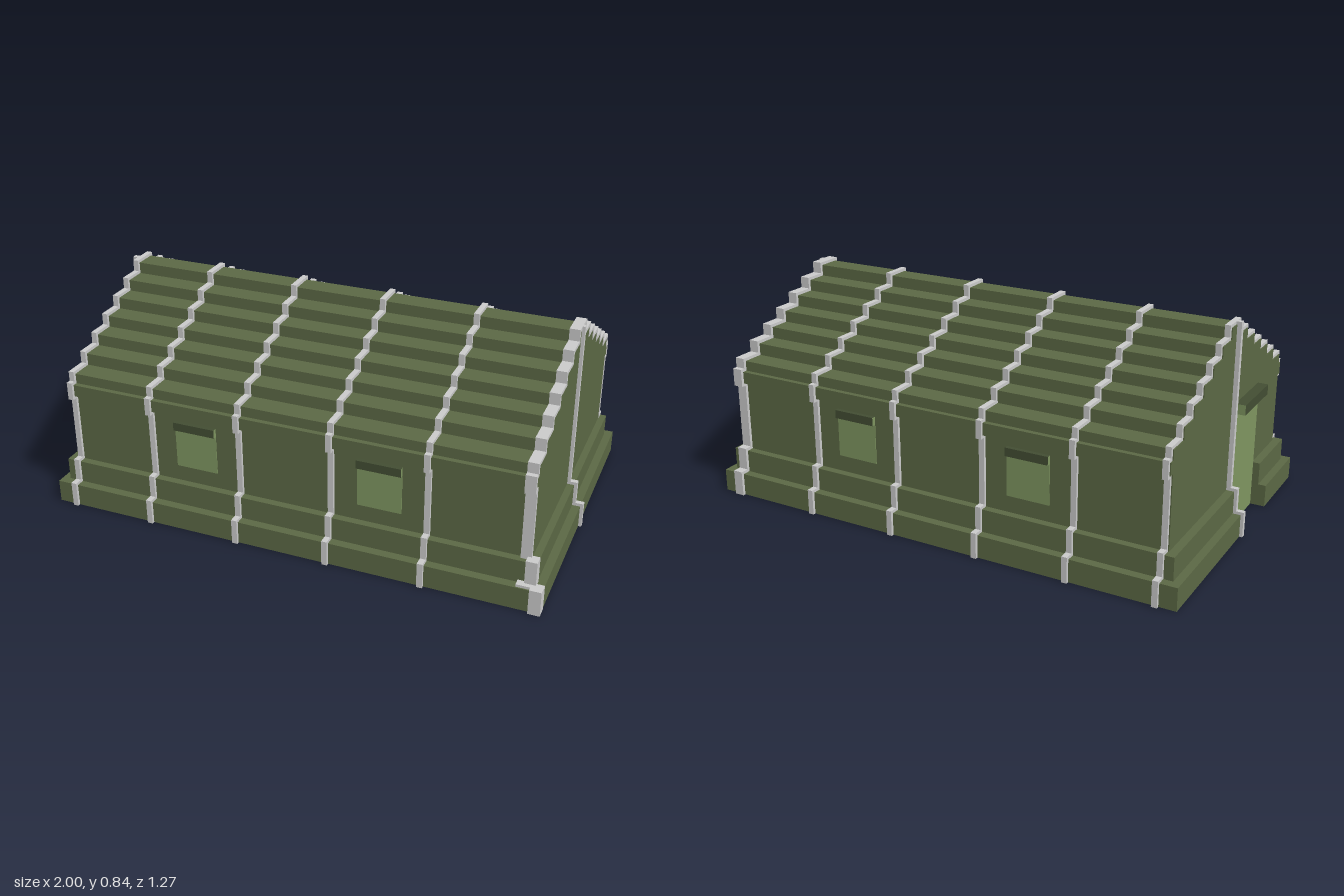
import * as THREE from 'three';

const mat = (color) => new THREE.MeshStandardMaterial({ color, flatShading: true });
const green = mat(0x5c6945);
const light = mat(0x7f9661);
const dark = mat(0x434e33);
const grey = mat(0xcccccc);

const T = 0.012; // thickness of the ribs over the skin

// Half cross-section as levels: [half depth z, top y]
const plinthLevels = [[0.625, 0.09], [0.59, 0.18]];
const hallLevels = [[0.56, 0.467], [0.58, 0.515], [0.56, 0.555]];
for (let i = 0; i < 6; i++) hallLevels.push([0.472 - i * 0.0855, 0.603 + i * 0.0454]);
const allLevels = [...plinthLevels, ...hallLevels];

// Stepped outline from the ground (or y0) up to the centre line
function outline(levels, y0 = 0) {
  const pts = [];
  let y = y0;
  for (const [z, top] of levels) {
    pts.push([z, y], [z, top]);
    y = top;
  }
  pts.push([0, y]);
  return pts;
}

// Same steps moved outwards by t
function offset(levels, t) {
  return levels.map(([z, top], i) => {
    const next = levels[i + 1];
    return [z + t, next && next[0] > z ? top - t : top + t];
  });
}

const toShape = (pts) => new THREE.Shape(pts.map(([a, b]) => new THREE.Vector2(a, b)));

// Extrude a z-y outline along x
function extrudeX(pts, x0, x1) {
  const g = new THREE.ExtrudeGeometry(toShape(pts.map(([z, y]) => [-z, y])), {
    depth: x1 - x0, bevelEnabled: false,
  });
  return g.rotateY(Math.PI / 2).translate(x0, 0, 0);
}

export function createModel() {
  const root = new THREE.Group();
  const add = (name, geometry, material) => {
    const m = new THREE.Mesh(geometry, material);
    m.name = name;
    root.add(m);
    return m;
  };
  const box = (name, material, x0, x1, y0, y1, z0, z1) => add(
    name,
    new THREE.BoxGeometry(x1 - x0, y1 - y0, z1 - z0)
      .translate((x0 + x1) / 2, (y0 + y1) / 2, (z0 + z1) / 2),
    material,
  );

  // Hall with stepped roof
  const half = outline(hallLevels);
  const mirrored = half.slice(0, -1).reverse().map(([z, y]) => [-z, y]);
  add('hall', extrudeX([...half, ...mirrored], -0.925, 0.93), green);

  // Two-step plinth, cut out for the door on the right end
  const doorZ = [0.04, 0.30];
  const plinth = (name, hx, hz, y0, y1) => {
    const pts = [
      [-hx, -hz], [hx, -hz], [hx, hz], [-hx, hz],
      [-hx, doorZ[1]], [-0.92, doorZ[1]], [-0.92, doorZ[0]], [-hx, doorZ[0]],
    ];
    const g = new THREE.ExtrudeGeometry(toShape(pts.map(([x, z]) => [x, -z])), {
      depth: y1 - y0, bevelEnabled: false,
    });
    add(name, g.rotateX(-Math.PI / 2).translate(0, y0, 0), green);
  };
  plinth('lowerPlinth', 0.988, 0.625, 0, 0.09);
  plinth('upperPlinth', 0.957, 0.59, 0.09, 0.18);

  // Ribs following the stepped section, one half per side
  const rib = (x0, x1, side, levels, y0) => {
    const outer = outline(offset(levels, T), y0);
    const inner = outline(offset(levels, -0.002), y0).reverse();
    const pts = [...outer, ...inner].map(([z, y]) => [z * side, y]);
    add('rib', extrudeX(pts, x0, x1), grey);
  };
  for (const x of [-0.91, -0.568, -0.198, 0.173, 0.545]) {
    for (const side of [1, -1]) rib(x - 0.011, x + 0.011, side, allLevels, 0);
  }
  rib(0.892, 0.932, -1, allLevels, 0);
  rib(0.892, 0.932, 1, hallLevels, 0.18);

  // Front left corner rib steps out with the plinth corner
  box('cornerRib', grey, 0.945, 0.99, 0, 0.1, 0.59, 0.637);
  box('cornerRib', grey, 0.918, 0.96, 0.09, 0.192, 0.56, 0.602);
  box('cornerRibStrap', grey, 0.892, 0.95, 0.088, 0.1, 0.59, 0.62);

  // Centre strips up both ends
  for (const side of [1, -1]) {
    let y = 0;
    for (const [x, top] of [[0.988, 0.102], [0.957, 0.192], [0.93, 0.842]]) {
      const a = side * 0.91, b = side * (x + T);
      box('endStrip', grey, Math.min(a, b), Math.max(a, b), y, top, 0.002, 0.022);
      y = top;
    }
  }

  // Windows with small awnings on both long sides
  for (const side of [1, -1]) {
    for (const x of [-0.383, 0.36]) {
      const span = (a, b) => (side > 0 ? [a, b] : [-b, -a]);
      box('window', light, x - 0.086, x + 0.086, 0.245, 0.406, ...span(0.55, 0.563));
      box('windowAwning', [light, light, dark, dark, dark, dark],
        x - 0.086, x + 0.086, 0.405, 0.438, ...span(0.55, 0.577));
    }
  }

  // Door and its awning on the right end
  box('door', light, -0.93, -0.91, 0, 0.476, ...doorZ);
  box('doorAwning', [dark, dark, dark, dark, light, light],
    -0.966, -0.91, 0.475, 0.515, ...doorZ);

  return root;
}
